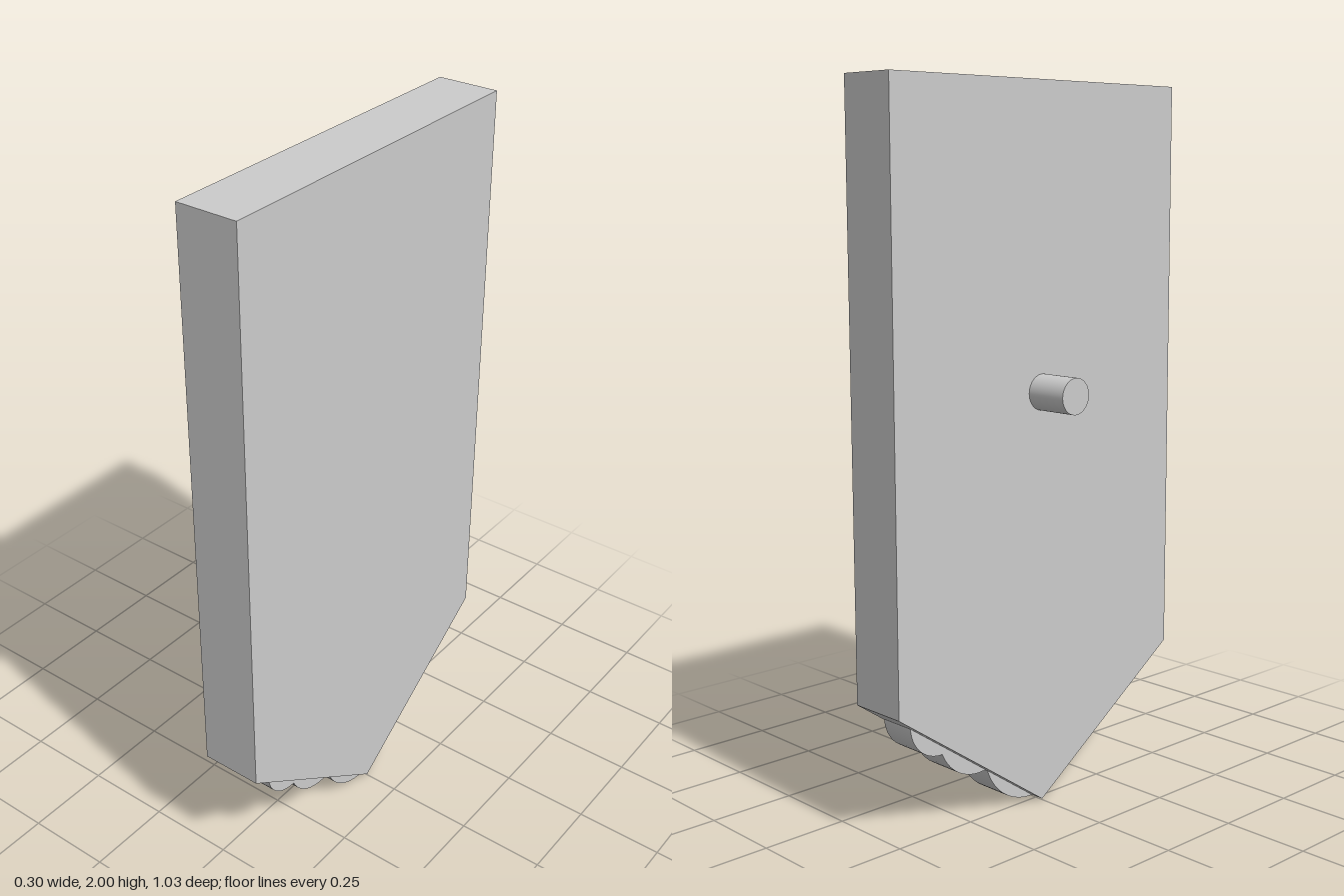
import * as THREE from 'three';

const material = new THREE.MeshStandardMaterial({ color: 0xcccccc });

function addPart(group, name, geometry, x, y, z) {
  const mesh = new THREE.Mesh(geometry, material);
  mesh.name = name;
  mesh.position.set(x, y, z);
  group.add(mesh);
  return mesh;
}

// Cylinder lying along x
function disc(radius, width) {
  return new THREE.CylinderGeometry(radius, radius, width, 48).rotateZ(Math.PI / 2);
}

export function createModel() {
  const group = new THREE.Group();
  group.name = 'pointedPlate';

  // Flat plate with a pointed lower end, extruded across x
  const outline = new THREE.Shape([
    [0, 0.005], [0.517, 0.365], [0.517, 2], [-0.517, 2], [-0.517, 0.365],
  ].map(([z, y]) => new THREE.Vector2(z, y)));
  const plate = new THREE.ExtrudeGeometry(outline, { depth: 0.175, bevelEnabled: false });
  plate.rotateY(Math.PI / 2);
  addPart(group, 'plate', plate, -0.026, 0, 0);

  // Pin on the right face
  addPart(group, 'pin', disc(0.05, 0.13), -0.088, 1.172, 0);

  // Rounded lobes stepping up both slanted edges
  addPart(group, 'tipLobe', disc(0.178, 0.11), 0.075, 0.18, 0);
  for (const side of [1, -1]) {
    addPart(group, 'middleLobe', disc(0.143, 0.11), 0.075, 0.268, 0.2 * side);
    addPart(group, 'upperLobe', disc(0.105, 0.11), 0.075, 0.318, 0.337 * side);
  }
  return group;
}
